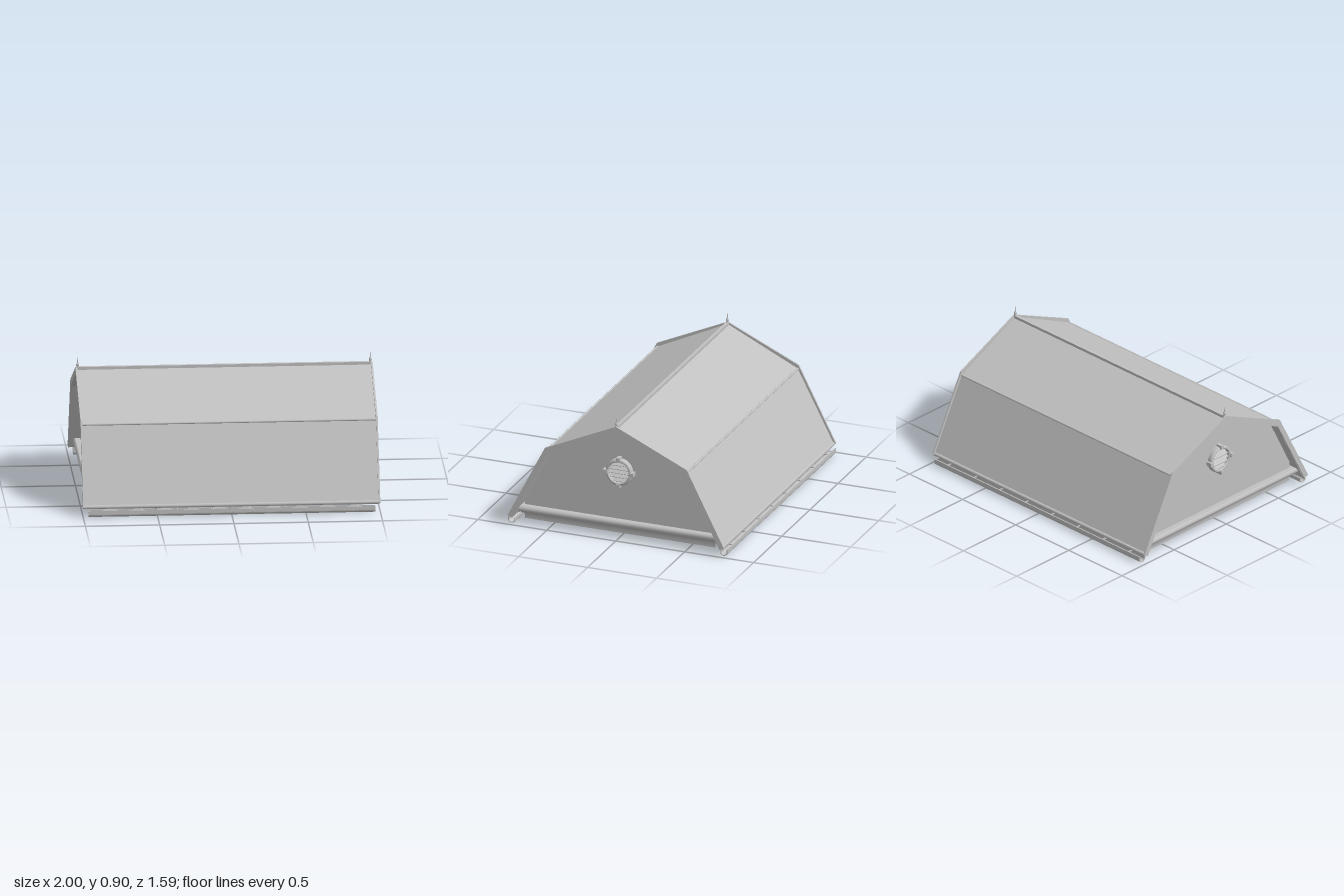
import * as THREE from 'three';
import { toCreasedNormals } from 'three/addons/utils/BufferGeometryUtils.js';

const grey = new THREE.MeshStandardMaterial({ color: 0xc0c0c0 });
grey.name = 'plain grey';
grey.side = THREE.DoubleSide;

// Half profiles as [z, y] from ridge to eave; mirrored to make a whole band
const INNER = [[0, 0.79], [0.497, 0.55], [0.745, 0.06]];
const PANEL = [[0, 0.816], [0.508, 0.572], [0.772, 0.062]];
const BARGE = [[0, 0.83], [0.514, 0.596], [0.785, 0.066]];
const BARGE_IN = [[0, 0.79], [0.497, 0.55], [0.752, 0.052]];

function add(parent, name, geometry, x = 0, y = 0, z = 0) {
  const mesh = new THREE.Mesh(geometry, grey);
  mesh.name = name;
  mesh.position.set(x, y, z);
  parent.add(mesh);
  return mesh;
}

const mirrored = (half) => [
  ...half.slice(1).reverse().map(([z, y]) => [-z, y]),
  ...half,
];

// Extrude a [z, y] outline along x, from x0 to x1
function extrudeX(points, x0, x1) {
  const shape = new THREE.Shape(points.map(([z, y]) => new THREE.Vector2(-z, y)));
  const g = new THREE.ExtrudeGeometry(shape, { depth: x1 - x0, bevelEnabled: false });
  return g.rotateY(Math.PI / 2).translate(x0, 0, 0);
}

const band = (outer, inner) => [...mirrored(outer), ...mirrored(inner).reverse()];

// Rectangular moulding swept round the base, profile as [outward, y]
function mouldingRing(profile, hx, hz) {
  const corners = [[1, 1], [1, -1], [-1, -1], [-1, 1]];
  const at = (k, i) => {
    const [sx, sz] = corners[k % 4];
    const [d, y] = profile[i % profile.length];
    return [sx * (hx + d), y, sz * (hz + d)];
  };
  const pos = [];
  for (let k = 0; k < 4; k++) {
    for (let i = 0; i < profile.length; i++) {
      const a = at(k, i), b = at(k + 1, i), c = at(k + 1, i + 1), d = at(k, i + 1);
      pos.push(...a, ...b, ...c, ...a, ...c, ...d);
    }
  }
  const g = new THREE.BufferGeometry();
  g.setAttribute('position', new THREE.Float32BufferAttribute(pos, 3));
  g.computeVertexNormals();
  return toCreasedNormals(g, 0.7);
}

const rod = (r, length) => new THREE.CylinderGeometry(r, r, length, 12).rotateZ(Math.PI / 2);

// Round louvred vent facing +x
function makeVent() {
  const vent = new THREE.Group();
  vent.name = 'gableVent';
  const ring = [[0.074, 0], [0.074, 0.03], [0.08, 0.036], [0.09, 0.034], [0.096, 0.026], [0.096, 0]]
    .map(([r, h]) => new THREE.Vector2(r, h));
  const frame = toCreasedNormals(new THREE.LatheGeometry(ring, 40), 0.6);
  add(vent, 'ventFrame', frame.rotateZ(-Math.PI / 2));
  for (let i = 0; i < 4; i++) {
    const a = (i * Math.PI) / 2;
    add(vent, 'ventBlock', new THREE.BoxGeometry(0.048, 0.026, 0.026),
      0.022, 0.097 * Math.sin(a), 0.097 * Math.cos(a));
  }
  for (let i = -2; i <= 2; i++) {
    const y = i * 0.028;
    const width = 2 * Math.sqrt(0.075 ** 2 - y * y);
    const slat = add(vent, 'ventSlat', new THREE.BoxGeometry(0.03, 0.006, width), 0.014, y, 0);
    slat.rotation.z = -0.75;
  }
  return vent;
}

function makeFinial() {
  const pts = [[0, -0.015], [0.01, -0.01], [0.01, 0.002], [0.005, 0.005], [0.01, 0.012],
    [0.011, 0.018], [0.006, 0.026], [0.004, 0.032], [0.003, 0.05], [0, 0.074]];
  return new THREE.LatheGeometry(pts.map(([r, y]) => new THREE.Vector2(r, y)), 14);
}

// U-shaped open channel on the +z side
function makeGutter() {
  const outer = [[0.744, 0.04]], inner = [[0.749, 0.04]];
  for (let i = 0; i <= 10; i++) {
    const a = Math.PI + (i * Math.PI) / 20;
    outer.push([0.769 + 0.025 * Math.cos(a), 0.022 + 0.022 * Math.sin(a)]);
    inner.push([0.769 + 0.02 * Math.cos(a), 0.022 + 0.017 * Math.sin(a)]);
  }
  for (let i = 1; i <= 10; i++) {
    const a = 1.5 * Math.PI + (i * Math.PI) / 20;
    outer.push([0.769 + 0.026 * Math.cos(a), 0.022 + 0.022 * Math.sin(a)]);
    inner.push([0.769 + 0.021 * Math.cos(a), 0.022 + 0.017 * Math.sin(a)]);
  }
  outer.push([0.795, 0.046]);
  inner.push([0.788, 0.046]);
  return extrudeX([...outer, ...inner.reverse()], -0.965, 0.965);
}

export function createModel() {
  const model = new THREE.Group();
  model.name = 'gambrelRoof';

  // Double-pitched roof shell, hollow underneath
  add(model, 'roofPanels', extrudeX(band(PANEL, INNER), -0.99, 0.99));
  add(model, 'ridgeCap', new THREE.BoxGeometry(1.98, 0.022, 0.022), 0, 0.819, 0);

  // Gable ends with bargeboard, vent and finial
  const gable = [[-0.69, 0.1], [-0.69, 0.172], [-0.5, 0.552], [0, 0.795],
    [0.5, 0.552], [0.69, 0.172], [0.69, 0.1]];
  for (const s of [1, -1]) {
    const end = new THREE.Group();
    end.name = s > 0 ? 'leftEnd' : 'rightEnd';
    end.rotation.y = s > 0 ? 0 : Math.PI;
    add(end, 'gableWall', extrudeX(gable, 0.89, 0.92));
    add(end, 'bargeboard', extrudeX(band(BARGE, BARGE_IN), 0.988, 1));
    const vent = makeVent();
    vent.position.set(0.92, 0.478, 0);
    end.add(vent);
    add(end, 'finial', makeFinial(), 0.985, 0.828, 0);
    model.add(end);
  }

  // Cornice round the base
  const cornice = [[0, 0.03], [0, 0.06], [0.008, 0.072], [0.022, 0.083], [0.038, 0.092],
    [0.045, 0.1], [0.048, 0.112], [0.044, 0.124], [0.036, 0.131], [-0.06, 0.131], [-0.06, 0.03]];
  add(model, 'baseCornice', mouldingRing(cornice, 0.92, 0.69));

  // Long sides: low wall, rolled seams, gutter and brackets
  for (const s of [1, -1]) {
    const side = new THREE.Group();
    side.name = s > 0 ? 'frontSide' : 'backSide';
    side.rotation.y = s > 0 ? 0 : Math.PI;
    add(side, 'eaveWall', new THREE.BoxGeometry(1.84, 0.08, 0.03), 0, 0.14, 0.675);
    add(side, 'foldRoll', rod(0.008, 1.98), 0, 0.57, 0.509);
    add(side, 'eaveRoll', rod(0.013, 1.99), 0, 0.066, 0.765);
    add(side, 'gutter', makeGutter());
    for (let i = 0; i < 8; i++) {
      add(side, 'gutterBracket', new THREE.BoxGeometry(0.008, 0.006, 0.1),
        -0.85 + i * 0.243, 0.04, 0.738);
    }
    model.add(side);
  }
  return model;
}
